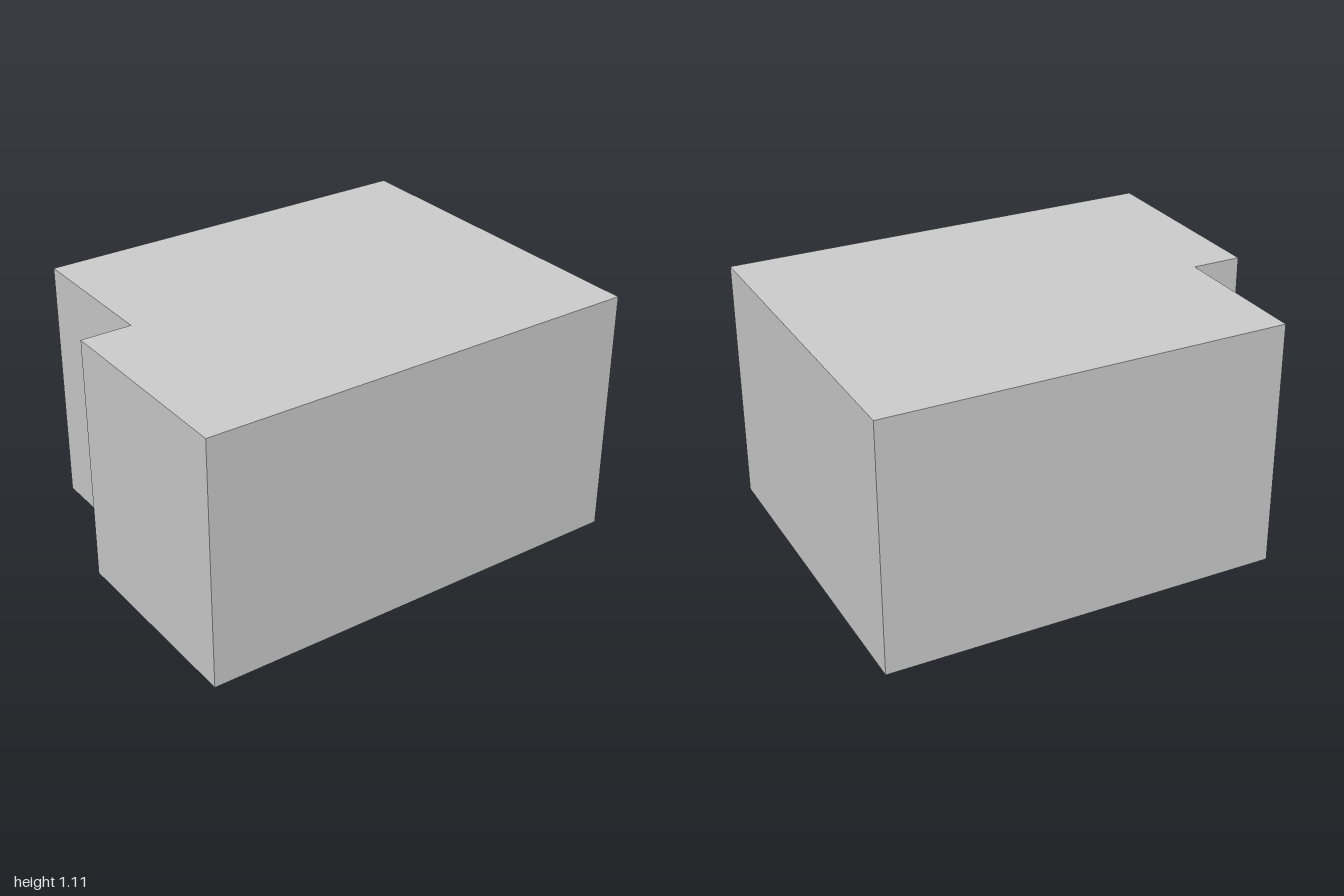
import * as THREE from 'three';

export function createModel() {
  const group = new THREE.Group();
  group.name = 'building';

  const halfWidth = 0.795, height = 1.11;
  const stepX = -0.13, recessZ = 0.775;

  // Floor plan as [x, z]: a rectangle with its front right corner recessed
  const plan = [
    [-halfWidth, recessZ], [stepX, recessZ], [stepX, 1],
    [halfWidth, 1], [halfWidth, -1], [-halfWidth, -1],
  ];
  const shape = new THREE.Shape(plan.map(([x, z]) => new THREE.Vector2(x, -z)));

  // Raise the plan straight up from the ground
  const geometry = new THREE.ExtrudeGeometry(shape, { depth: height, bevelEnabled: false });
  geometry.rotateX(-Math.PI / 2);

  const block = new THREE.Mesh(
    geometry,
    new THREE.MeshStandardMaterial({ color: 0xcccccc, flatShading: true }),
  );
  block.name = 'steppedBlock';
  group.add(block);
  return group;
}
